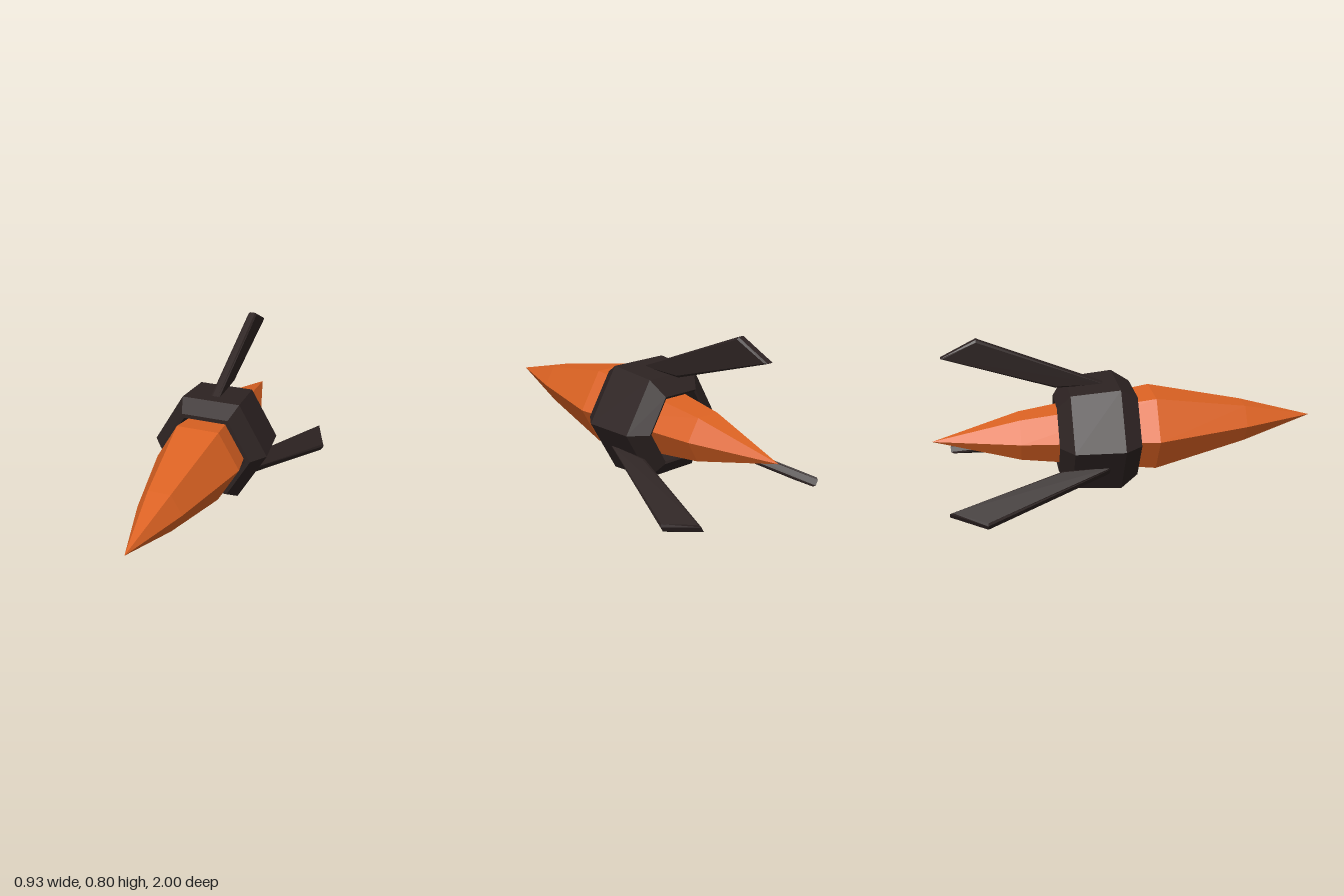
import * as THREE from 'three';

const AXIS_Y = 0.282;

// Faceted six-sided shell around the z axis; profile is [radius, z] pairs, back to front on the outside
function hexShell(profile) {
  const points = profile.map(([r, z]) => new THREE.Vector2(r, z));
  const lathe = new THREE.LatheGeometry(points, 6, Math.PI / 2);
  lathe.rotateX(Math.PI / 2);
  const geometry = lathe.toNonIndexed();
  geometry.computeVertexNormals();
  return geometry;
}

// Swept fin with bevelled edges; outline is [z, distance from axis] pairs
function finGeometry() {
  const outline = [[-0.11, 0.256], [-0.37, 0.253], [-0.925, 0.44], [-0.75, 0.526]];
  const shape = new THREE.Shape(outline.map(([z, r]) => new THREE.Vector2(-z, r)));
  const geometry = new THREE.ExtrudeGeometry(shape, {
    depth: 0.03,
    bevelEnabled: true,
    bevelThickness: 0.009,
    bevelSize: 0.01,
    bevelOffset: -0.01,
    bevelSegments: 1,
  });
  geometry.translate(0, 0, -0.015);
  geometry.rotateY(Math.PI / 2);
  return geometry;
}

export function createModel() {
  const orange = new THREE.MeshStandardMaterial({ color: 0xdd6323 });
  orange.name = 'orange';
  const charcoal = new THREE.MeshStandardMaterial({ color: 0x2d2322 });
  charcoal.name = 'charcoal';

  const model = new THREE.Group();
  model.name = 'dart';
  const add = (name, geometry, material) => {
    const mesh = new THREE.Mesh(geometry, material);
    mesh.name = name;
    mesh.position.y = AXIS_Y;
    model.add(mesh);
    return mesh;
  };

  // Spindle body, pointed at both ends
  add('body', hexShell([
    [0, -1], [0.125, -0.56], [0.223, 0.13], [0.113, 0.62], [0, 1],
  ]), orange);

  // Hollow hexagonal collar
  add('collar', hexShell([
    [0.185, -0.37], [0.198, -0.375], [0.29, -0.31], [0.311, -0.06],
    [0.248, 0.03], [0.224, 0.03], [0.185, -0.37],
  ]), charcoal);

  // Three fins spaced evenly around the collar
  const fin = finGeometry();
  ['topFin', 'leftFin', 'rightFin'].forEach((name, i) => {
    add(name, fin, charcoal).rotation.z = -i * Math.PI * 2 / 3;
  });

  return model;
}
